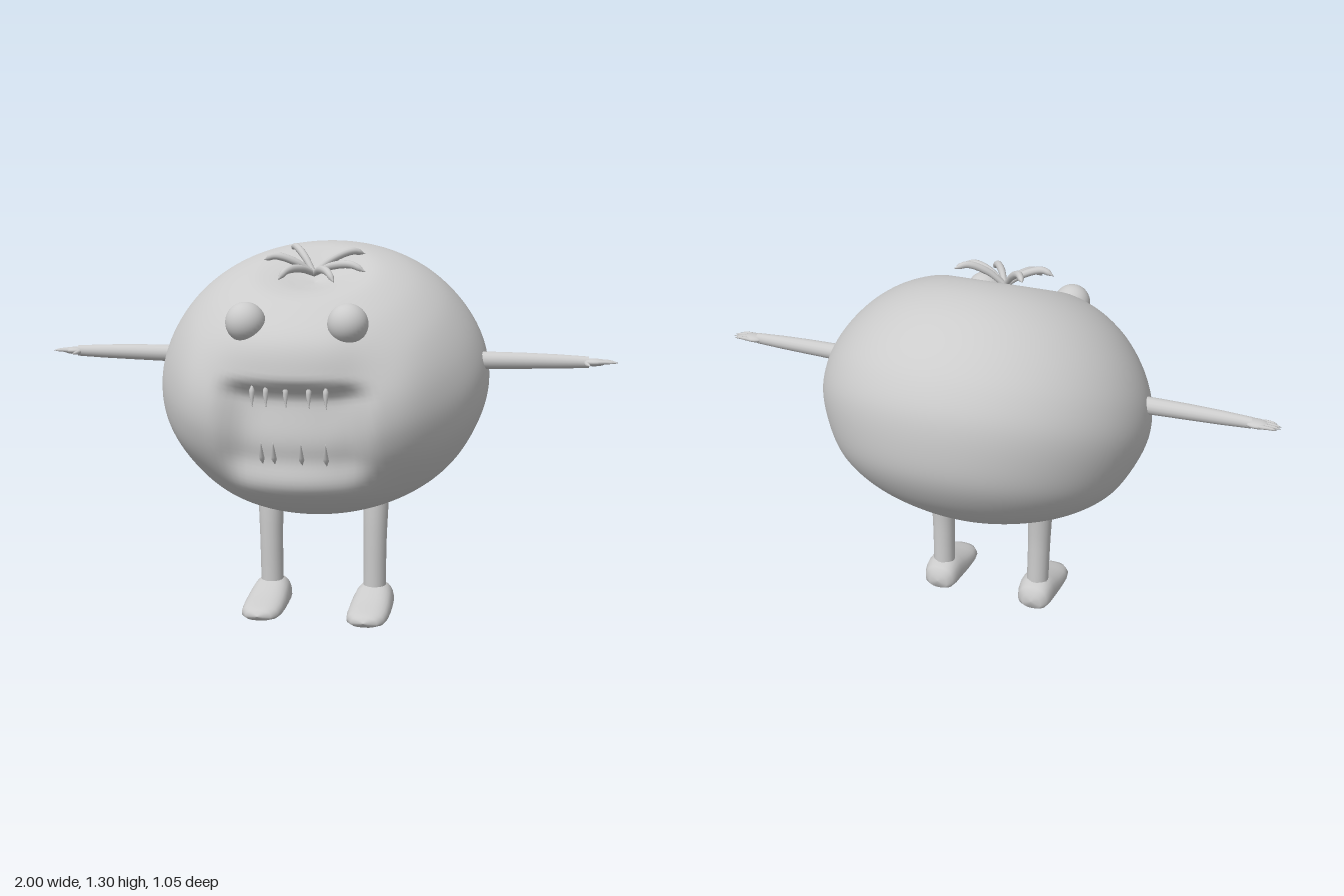
import * as THREE from 'three';
import { mergeVertices } from 'three/addons/utils/BufferGeometryUtils.js';

const material = new THREE.MeshStandardMaterial({ color: 0xcccccc });
const V = (x, y, z) => new THREE.Vector3(x, y, z);
const step = THREE.MathUtils.smoothstep;
// Smooth hump that is 1 at the centre and 0 beyond the given reach
const hump = (v, centre, reach) => 1 - step(Math.abs(v - centre), 0, reach);

function addMesh(parent, name, geometry) {
  const mesh = new THREE.Mesh(geometry, material);
  mesh.name = name;
  parent.add(mesh);
  return mesh;
}

// Weld seams and smooth the normals
function smooth(geometry) {
  geometry.deleteAttribute('uv');
  geometry.deleteAttribute('normal');
  const welded = mergeVertices(geometry, 1e-5);
  welded.computeVertexNormals();
  return welded;
}

// Round limb along a curve; radii are spread evenly over its length
function limb(points, radii, rings = 16, sides = 12) {
  const curve = new THREE.CatmullRomCurve3(points);
  const geometry = new THREE.TubeGeometry(curve, rings, 1, sides);
  const pos = geometry.attributes.position;
  const p = new THREE.Vector3();
  for (let i = 0; i <= rings; i++) {
    const t = (i / rings) * (radii.length - 1);
    const k = Math.min(Math.floor(t), radii.length - 2);
    const r = THREE.MathUtils.lerp(radii[k], radii[k + 1], t - k);
    const centre = curve.getPointAt(i / rings);
    for (let j = 0; j <= sides; j++) {
      const n = i * (sides + 1) + j;
      p.fromBufferAttribute(pos, n).sub(centre).multiplyScalar(r).add(centre);
      pos.setXYZ(n, p.x, p.y, p.z);
    }
  }
  return smooth(geometry);
}

// Tilted round body with a dimple on top and a sunken mouth in front
function bodyGeometry() {
  const profile = new THREE.SplineCurve([
    [0, -0.42], [0.13, -0.41], [0.27, -0.372], [0.38, -0.318], [0.465, -0.245],
    [0.522, -0.145], [0.554, -0.04], [0.55, 0.06], [0.52, 0.15], [0.47, 0.233],
    [0.405, 0.305], [0.32, 0.364], [0.22, 0.4], [0.14, 0.399], [0.06, 0.38], [0, 0.365],
  ].map(([r, h]) => new THREE.Vector2(r, h)));
  const points = profile.getPoints(90);
  points.forEach((q) => { q.x = Math.max(q.x, 0); });
  points[0].x = points[90].x = 0;
  const geometry = new THREE.LatheGeometry(points, 128, Math.PI);
  geometry.rotateX(THREE.MathUtils.degToRad(25));
  geometry.scale(1.025, 1, 1);
  geometry.translate(0, 0.84, 0);
  const pos = geometry.attributes.position;
  for (let i = 0; i < pos.count; i++) {
    const x = Math.abs(pos.getX(i)), y = pos.getY(i), z = pos.getZ(i);
    const front = step(z, 0.1, 0.4);
    const across = 1 - step(x, 0.16, 0.28);
    const hollow = across * step(y, 0.5, 0.64) * (1 - step(y, 0.82, 0.89));
    const underLip = (1 - step(x, 0.1, 0.22)) * step(y, 0.62, 0.8) * (1 - step(y, 0.8, 0.87));
    const chin = (1 - step(x, 0.15, 0.4)) * hump(y, 0.5, 0.12);
    const brow = (1 - step(x, 0.1, 0.35)) * hump(y, 1.0, 0.13);
    const cheek = hump(x, 0.36, 0.18) * hump(y, 0.8, 0.35);
    pos.setZ(i, z + front * (0.022 * chin + 0.02 * brow + 0.028 * cheek - 0.05 * hollow - 0.025 * underLip));
  }
  return smooth(geometry);
}

// Shoe-like foot lofted from heel to toe: z, half width, bottom, top
function footGeometry() {
  const sections = [
    [-0.043, 0.002, 0.045, 0.05], [-0.039, 0.037, 0.017, 0.075], [-0.025, 0.058, 0.008, 0.1],
    [0.0, 0.067, 0.005, 0.115], [0.035, 0.071, 0.005, 0.117], [0.07, 0.074, 0.005, 0.106],
    [0.12, 0.076, 0.005, 0.085], [0.17, 0.075, 0.004, 0.068], [0.21, 0.068, 0.005, 0.057],
    [0.235, 0.048, 0.009, 0.046], [0.246, 0.002, 0.024, 0.028],
  ];
  const sides = 24, verts = [], index = [];
  const soft = (v) => Math.sign(v) * Math.abs(v) ** 0.8;
  sections.forEach(([z, w, bottom, top], i) => {
    for (let j = 0; j < sides; j++) {
      const a = (j / sides) * Math.PI * 2;
      const up = (soft(Math.sin(a)) + 1) / 2;
      verts.push(w * soft(Math.cos(a)) * (1.05 - 0.2 * up), bottom + (top - bottom) * up, z);
      if (i === 0) continue;
      const b = i * sides + j, c = i * sides + ((j + 1) % sides);
      index.push(b - sides, c - sides, b, c - sides, c, b);
    }
  });
  // End caps
  const last = (sections.length - 1) * sides;
  for (let j = 1; j < sides - 1; j++) {
    index.push(0, j + 1, j, last, last + j, last + j + 1);
  }
  const geometry = new THREE.BufferGeometry();
  geometry.setAttribute('position', new THREE.Float32BufferAttribute(verts, 3));
  geometry.setIndex(index);
  geometry.computeVertexNormals();
  return geometry;
}

export function createModel() {
  const model = new THREE.Group();
  model.name = 'roundCreature';
  addMesh(model, 'body', bodyGeometry());

  // Curled leaves around the top dimple
  const leaves = new THREE.Group();
  leaves.name = 'leaves';
  model.add(leaves);
  const root = V(0, 1.2, 0.17);
  const lift = V(0, 0.906, 0.423);
  const tips = [
    [-0.11, 1.282, 0.03], [0.16, 1.265, 0.1], [0.19, 1.21, 0.25],
    [0.105, 1.18, 0.345], [-0.085, 1.185, 0.325], [-0.165, 1.245, 0.2],
  ];
  for (const t of tips) {
    const tip = V(...t);
    const near = root.clone().lerp(tip, 0.35).addScaledVector(lift, 0.026);
    const far = root.clone().lerp(tip, 0.75).addScaledVector(lift, 0.028);
    addMesh(leaves, 'leaf', limb([root, near, far, tip],
      [0.009, 0.01, 0.011, 0.012, 0.013, 0.013, 0.013, 0.012, 0.01, 0], 27, 10));
  }

  // Upper teeth point down, lower teeth point up
  const teeth = new THREE.Group();
  teeth.name = 'teeth';
  model.add(teeth);
  for (const x of [-0.13, -0.085, -0.02, 0.055, 0.11]) {
    addMesh(teeth, 'upperTooth',
      limb([V(x, 0.865, 0.485), V(x, 0.825, 0.487), V(x + 0.003, 0.79, 0.492)], [0, 0.009, 0.008, 0.004, 0], 8, 8));
  }
  for (const x of [-0.1, -0.06, 0.03, 0.11]) {
    addMesh(teeth, 'lowerTooth',
      limb([V(x, 0.605, 0.468), V(x, 0.64, 0.486), V(x + 0.004, 0.685, 0.51)], [0, 0.009, 0.007, 0.004, 0], 8, 8));
  }

  const foot = footGeometry();
  for (const s of [1, -1]) {
    const side = s > 0 ? 'left' : 'right';

    const eye = addMesh(model, side + 'Eye', new THREE.SphereGeometry(0.065, 32, 20));
    eye.position.set(s * 0.167, 1.055, 0.423);

    // Arm with a flat palm, four fingers and a thumb
    const arm = new THREE.Group();
    arm.name = side + 'Arm';
    model.add(arm);
    addMesh(arm, 'sleeve', limb([V(s * 0.5, 0.908, 0.03), V(s * 0.7, 0.91, 0.03), V(s * 0.905, 0.91, 0.03)],
      [0.03, 0.029, 0.027, 0.024, 0.019], 12, 16));
    const palm = addMesh(arm, 'palm', new THREE.SphereGeometry(1, 20, 12));
    palm.scale.set(0.042, 0.013, 0.029);
    palm.position.set(s * 0.92, 0.91, 0.03);
    [0.008, 0.022, 0.036, 0.05].forEach((z, i) => {
      const reach = [0.99, 1, 1, 0.985][i];
      addMesh(arm, 'finger', limb([V(s * 0.93, 0.911, z), V(s * 0.965, 0.912, z), V(s * reach, 0.909, z)],
        [0.006, 0.007, 0.006, 0.005, 0], 8, 8));
    });
    addMesh(arm, 'thumb', limb([V(s * 0.895, 0.908, 0.04), V(s * 0.9, 0.905, 0.06), V(s * 0.912, 0.902, 0.08)],
      [0.008, 0.008, 0.006, 0], 8, 8));

    // Leg and foot
    addMesh(model, side + 'Leg', limb(
      [V(s * 0.19, 0.47, 0.03), V(s * 0.188, 0.3, 0.036), V(s * 0.186, 0.09, 0.032)],
      [0.046, 0.044, 0.041, 0.04, 0.04], 14, 20));
    addMesh(model, side + 'Foot', foot).position.x = s * 0.186;
  }
  return model;
}
